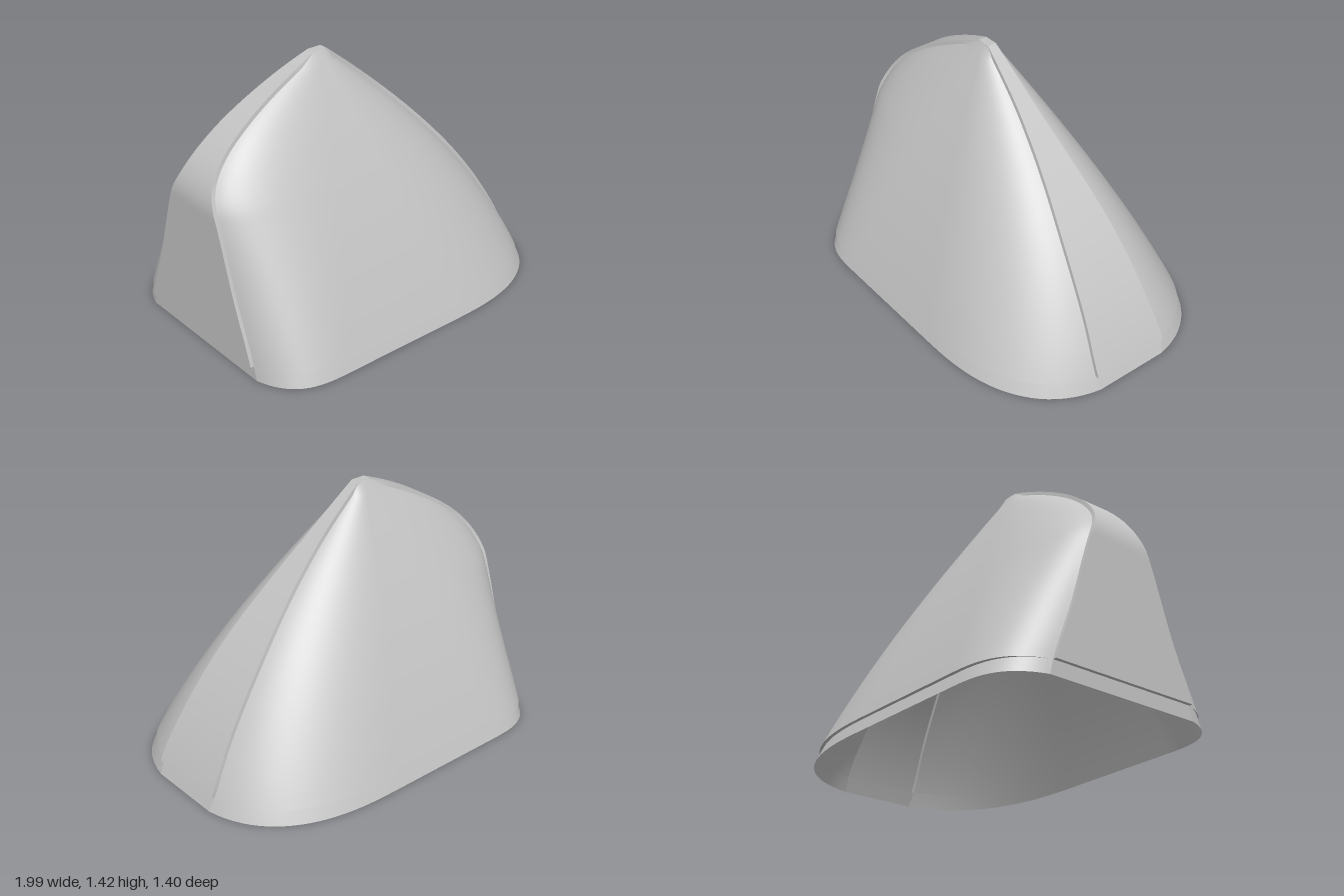
import * as THREE from 'three';

const TOP = 1.42, HEM = 0.077, GAP = 0.02;

// Smooth monotone interpolation through [y, value] pairs
function profile(pts) {
  const d = pts.slice(1).map((p, i) => (p[1] - pts[i][1]) / (p[0] - pts[i][0]));
  const m = pts.map((_, i) => {
    if (i === 0) return d[0];
    if (i === d.length) return d[i - 1];
    return d[i - 1] * d[i] <= 0 ? 0 : (2 * d[i - 1] * d[i]) / (d[i - 1] + d[i]);
  });
  return (y) => {
    let i = 0;
    while (i < d.length - 1 && y > pts[i + 1][0]) i++;
    const h = pts[i + 1][0] - pts[i][0], t = (y - pts[i][0]) / h, s = 1 - t;
    return pts[i][1] * (1 + 2 * t) * s * s + m[i] * h * t * s * s
      + pts[i + 1][1] * t * t * (3 - 2 * t) - m[i + 1] * h * t * t * s;
  };
}

// Gently bulging curve from a value at the peak to a value at the hem
const bulge = (peak, base, c) => (y) => {
  const u = (TOP - y) / (TOP - HEM);
  return peak + (base - peak) * (u + c * u * (1 - u));
};

// Outer line and half-width of the two end strips, and half-depth of the side panels
const noseX = bulge(-0.17, 0.983, 0.48);
const backX = (y) => -1 + 0.75 * Math.pow(Math.max(0, (y - 0.8) / 0.62), 2);
const noseW = profile([[0, 0.215], [HEM, 0.225], [0.35, 0.198], [0.64, 0.16], [1.03, 0.081], [1.2, 0.05], [TOP, 0.025]]);
const backW = profile([[0, 0.46], [HEM, 0.44], [0.4, 0.32], [0.8, 0.19], [0.95, 0.125], [1.07, 0.095], [1.16, 0.08], [1.27, 0.06], [1.35, 0.045], [TOP, 0.025]]);
const sideZ = bulge(0.026, 0.692, 0.2);

// The strips stand proud of the side panels by a constant thickness
function inset(line, y) {
  const slope = (line(y + 0.005) - line(y - 0.005)) / 0.01;
  const off = GAP * Math.hypot(1, slope) * Math.min(1, (TOP - y) / 0.06);
  return line(y) - Math.sign(line(0)) * off;
}

// Superellipse quarter from the middle of the side to a strip edge
function quarter(y, cx, xe, we, zm, p, n) {
  const end = Math.acos(Math.min(1, Math.pow(we / zm, p / 2)));
  const a = (xe - cx) / Math.pow(Math.sin(end), 2 / p);
  return Array.from({ length: n + 1 }, (_, i) => {
    const t = end * Math.pow(i / n, 1.3);
    return [cx + a * Math.pow(Math.sin(t), 2 / p), y, zm * Math.pow(Math.cos(t), 2 / p)];
  });
}

// Half outline of the shell at one height, from nose corner to back corner
function outline(y, shrink) {
  const k = y / TOP, zm = sideZ(y) - shrink, mix = THREE.MathUtils.lerp;
  const nose = quarter(y, mix(0.15, -0.21, k), inset(noseX, y), noseW(y), zm, mix(2.6, 2, k), 24);
  const back = quarter(y, mix(-0.55, -0.21, k), inset(backX, y), backW(y), zm, mix(3.4, 2.1, k), 24);
  return [...nose.reverse(), ...back.slice(1)];
}

// Surface through rows of points
function loft(rows, flip) {
  const n = rows[0].length, index = [];
  for (let r = 0; r < rows.length - 1; r++) {
    for (let c = 0; c < n - 1; c++) {
      const a = r * n + c, b = a + 1, e = a + n, f = e + 1;
      if (flip) index.push(a, b, e, b, f, e);
      else index.push(a, e, b, b, e, f);
    }
  }
  const g = new THREE.BufferGeometry();
  g.setAttribute('position', new THREE.Float32BufferAttribute(rows.flat(2), 3));
  g.setIndex(index);
  g.computeVertexNormals();
  return g;
}

export function createModel() {
  const model = new THREE.Group();
  model.name = 'shell';
  const grey = new THREE.MeshStandardMaterial({ color: 0xc4c4c4, side: THREE.DoubleSide });
  grey.name = 'light grey';

  const add = (name, geometry) => {
    const mesh = new THREE.Mesh(geometry, grey);
    mesh.name = name;
    model.add(mesh);
  };

  // Heights, closer together towards the peak
  const levels = Array.from({ length: 61 }, (_, i) => TOP - (TOP - HEM) * Math.pow(1 - i / 60, 1.6));
  const hem = [0, HEM / 2, HEM];

  // Side panels, with the recessed band and the ledge below them
  for (const s of [1, -1]) {
    const side = s > 0 ? 'Left' : 'Right';
    const mirror = (row) => row.map(([x, y, z]) => [x, y, z * s]);
    const flip = s < 0;
    add('sidePanel' + side, loft(levels.map((y) => mirror(outline(y, 0))), flip));
    add('baseBand' + side, loft(hem.map((y) => mirror(outline(y, GAP))), flip));
    add('ledge' + side, loft([outline(HEM, GAP), outline(HEM, 0)].map(mirror), flip));
  }

  // End strips: face, side walls, lower edge and the band beneath
  for (const [name, line, width] of [['nose', noseX, noseW], ['back', backX, backW]]) {
    const isNose = name === 'nose';
    const across = (x, y) => [[x, y, -width(y)], [x, y, width(y)]];
    add(name + 'Strip', loft(levels.map((y) => across(line(y), y)), !isNose));
    for (const s of [1, -1]) {
      const wall = levels.map((y) => [[line(y), y, s * width(y)], [inset(line, y), y, s * width(y)]]);
      add(name + 'StripEdge', loft(wall, isNose === (s < 0)));
    }
    add(name + 'StripHem', loft([across(inset(line, HEM), HEM), across(line(HEM), HEM)], !isNose));
    add(name + 'BaseBand', loft(hem.map((y) => across(inset(line, y), y)), !isNose));
  }

  // Small flat cap at the peak
  const cap = new THREE.BoxGeometry(0.08, 0.004, 0.05);
  cap.translate(-0.21, TOP - 0.002, 0);
  add('peakCap', cap);

  return model;
}
